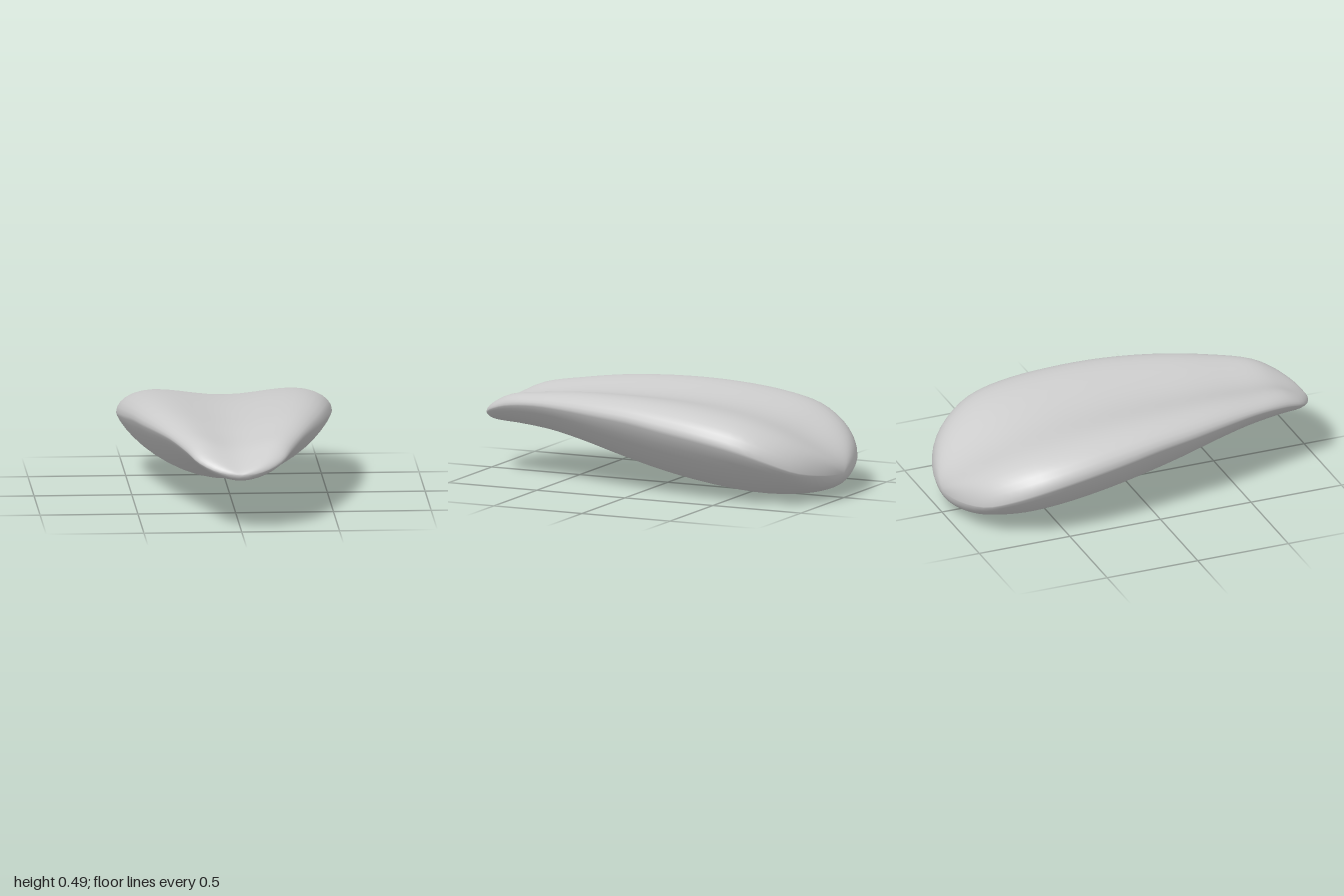
import * as THREE from 'three';
import { mergeVertices } from 'three/addons/utils/BufferGeometryUtils.js';

// Cross-sections from back to front:
// z, half width, rim height, centre top, crown height, centre bottom
const SECTIONS = [
  [-1, 0, 0.125, 0.125, 0.125, 0.125],
  [-0.97, 0.2, 0.145, 0.198, 0.218, 0.066],
  [-0.9, 0.355, 0.178, 0.26, 0.3, 0.034],
  [-0.8, 0.455, 0.232, 0.318, 0.374, 0.014],
  [-0.65, 0.53, 0.295, 0.382, 0.438, 0.001],
  [-0.45, 0.55, 0.34, 0.425, 0.48, 0.01],
  [-0.2, 0.53, 0.375, 0.446, 0.507, 0.042],
  [0, 0.5, 0.4, 0.45, 0.514, 0.08],
  [0.2, 0.46, 0.41, 0.447, 0.512, 0.13],
  [0.4, 0.405, 0.415, 0.44, 0.5, 0.185],
  [0.6, 0.34, 0.41, 0.422, 0.474, 0.228],
  [0.8, 0.268, 0.382, 0.395, 0.44, 0.25],
  [0.9, 0.218, 0.348, 0.36, 0.387, 0.255],
  [0.96, 0.143, 0.316, 0.331, 0.344, 0.261],
  [0.99, 0.072, 0.3, 0.311, 0.314, 0.272],
  [1, 0, 0.293, 0.293, 0.293, 0.293],
];
const RINGS = 44;
const SIDES = 44;

function createShell() {
  // Spacing by angle keeps both ends round
  const times = SECTIONS.map(([z]) => Math.acos(-z));
  const values = SECTIONS.flatMap((s) => s.slice(1));
  const profile = new THREE.CubicInterpolant(times, values, 5);

  const positions = [];
  const index = [];
  for (let i = 0; i <= RINGS; i++) {
    const t = (i / RINGS) * Math.PI;
    const [w, rim, top, crown, bottom] = profile.evaluate(t);
    const dip = crown - top;
    for (let j = 0; j < SIDES; j++) {
      const a = (j / SIDES) * Math.PI * 2;
      const u = Math.cos(a);
      const k = Math.max(0, 1 - u * u);
      // Dished top with rolled edges above the rim, rounded keel below it
      const y = Math.sin(a) >= 0
        ? rim + (crown - rim) * Math.sqrt(Math.max(0, 1 - u ** 4)) - dip * k ** 3
        : rim - (rim - bottom) * k ** 0.75;
      positions.push(w * u, y, -Math.cos(t));

      // Quads between rings, single triangles at the two end points
      const p = i * SIDES + j;
      const q = i * SIDES + ((j + 1) % SIDES);
      if (i > 0 && i < RINGS) index.push(p, q, q + SIDES);
      if (i < RINGS - 1) index.push(p, q + SIDES, p + SIDES);
    }
  }
  let geometry = new THREE.BufferGeometry();
  geometry.setAttribute('position', new THREE.Float32BufferAttribute(positions, 3));
  geometry.setIndex(index);
  geometry = mergeVertices(geometry, 1e-5);
  geometry.computeVertexNormals();
  return geometry;
}

export function createModel() {
  const group = new THREE.Group();
  group.name = 'saddle';
  const material = new THREE.MeshStandardMaterial({ color: 0xcccccc });
  const shell = new THREE.Mesh(createShell(), material);
  shell.name = 'saddleShell';
  group.add(shell);
  return group;
}
